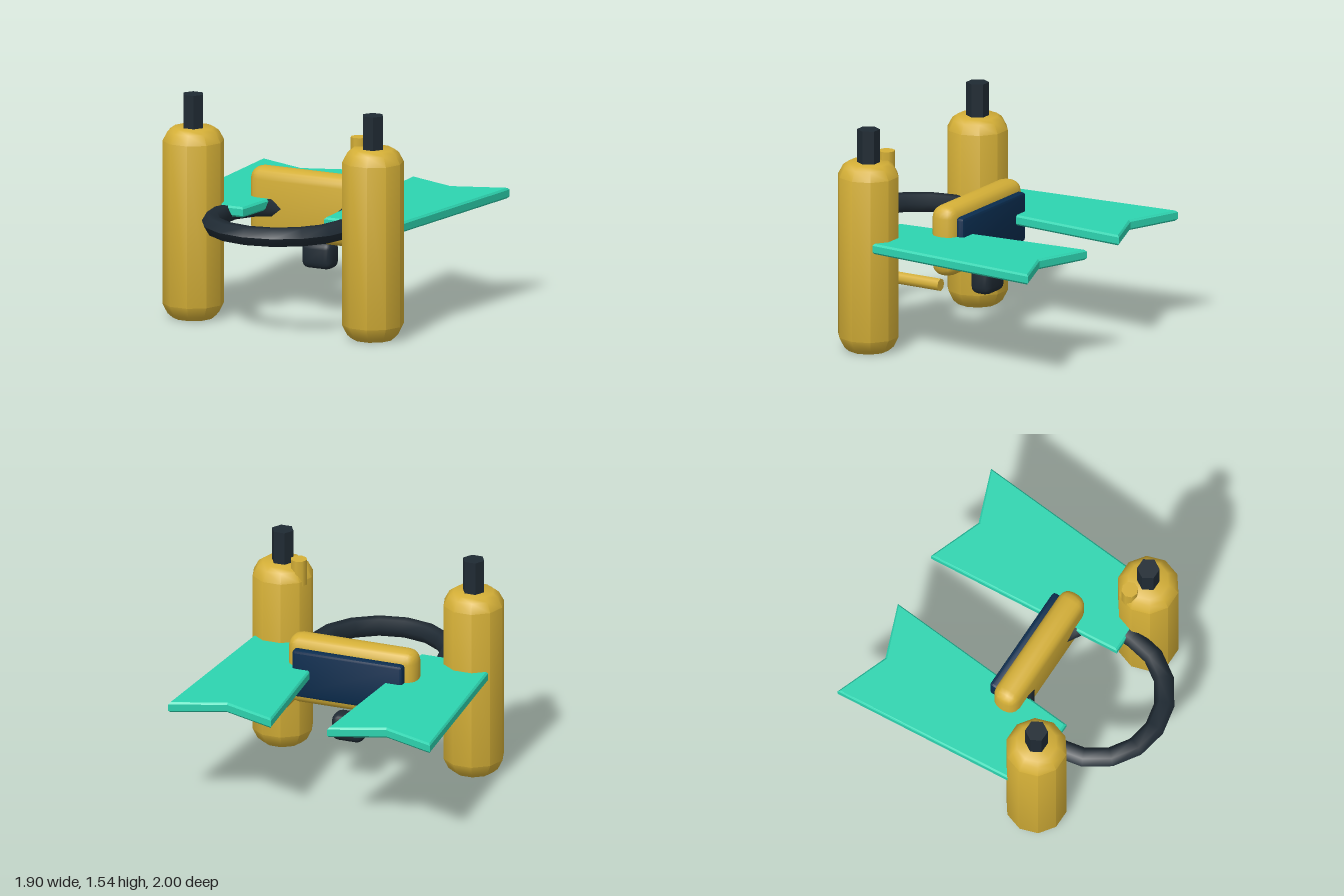
import * as THREE from 'three';
import { toCreasedNormals } from 'three/addons/utils/BufferGeometryUtils.js';
import { RoundedBoxGeometry } from 'three/addons/geometries/RoundedBoxGeometry.js';

const material = (name, color) => {
  const m = new THREE.MeshStandardMaterial({ color });
  m.name = name;
  return m;
};

export function createModel() {
  const gold = material('gold', 0xd4af37);
  const teal = material('teal', 0x2dd4b0);
  const charcoal = material('charcoal', 0x1f2a33);
  const navy = material('navy', 0x0a2c4e);

  const model = new THREE.Group();
  model.name = 'divingGear';
  const add = (name, geometry, mat, x = 0, y = 0, z = 0) => {
    const mesh = new THREE.Mesh(geometry, mat);
    mesh.name = name;
    mesh.position.set(x, y, z);
    model.add(mesh);
    return mesh;
  };

  // Ten-sided tank with rounded shoulders; corners lie on the x axis
  const profile = [[0, 0], [0.14, 0], [0.175, 0.03], [0.21, 0.1], [0.21, 1.22], [0.175, 1.285], [0.14, 1.31], [0, 1.31]]
    .map(([r, y]) => new THREE.Vector2(r, y));
  const tank = toCreasedNormals(new THREE.LatheGeometry(profile, 10, Math.PI / 2), 0.7);
  const valve = toCreasedNormals(new THREE.CylinderGeometry(0.077, 0.077, 0.26, 6, 1, false, Math.PI / 2), 0.7);

  // Fin blade with a notched tail, drawn in x and -z
  const blade = new THREE.Shape([[0.325, -0.41], [0.83, -0.41], [0.94, 0.985], [0.58, 0.845], [0.215, 0.985]]
    .map(([x, y]) => new THREE.Vector2(x, y)));
  const bladeGeometry = () => new THREE.ExtrudeGeometry(blade, {
    depth: 0.046, bevelEnabled: true, bevelThickness: 0.013, bevelSize: 0.013, bevelSegments: 1,
  }).rotateX(-Math.PI / 2);

  for (const [side, s] of [['left', 1], ['right', -1]]) {
    add(side + 'Tank', tank, gold, s * 0.693, 0, 0.43);
    add(side + 'Valve', valve, charcoal, s * 0.693, 1.41, 0.43);
    const fin = bladeGeometry();
    // the blade is mirrored about its own axis by a half turn and flip
    if (s < 0) fin.translate(-1.155, 0, 0);
    add(side + 'Fin', fin, teal, 0, 0.734, 0);
  }

  // Hose ring, widened towards the pack
  const ring = new THREE.TorusGeometry(0.467, 0.069, 6, 16).rotateX(Math.PI / 2);
  const p = ring.attributes.position;
  for (let i = 0; i < p.count; i++) {
    p.setX(i, p.getX(i) * (1 + 0.7 * Math.max(0, -p.getZ(i))));
  }
  ring.computeVertexNormals();
  add('hoseRing', ring, charcoal, 0, 0.732, 0.46);

  // Pack body, back panel and lower buckle
  const rounded = (w, h, d, r, n) => toCreasedNormals(new RoundedBoxGeometry(w, h, d, n, r), 0.5);
  add('packBody', rounded(0.93, 0.49, 0.19, 0.08, 2), gold, 0, 0.753, 0.003);
  add('backPanel', rounded(0.8, 0.34, 0.07, 0.02, 1), navy, 0, 0.755, -0.105);
  add('buckle', rounded(0.23, 0.19, 0.155, 0.05, 2), charcoal, 0, 0.41, -0.083);

  // Side grip and upper knob on the left tank
  const grip = new THREE.CylinderGeometry(0.043, 0.043, 0.38, 8).rotateX(Math.PI / 2);
  add('sideGrip', grip, gold, 0.51, 0.475, 0.16);
  add('upperKnob', new THREE.CylinderGeometry(0.057, 0.057, 0.18, 8), gold, 0.553, 1.277, 0.373);

  return model;
}
